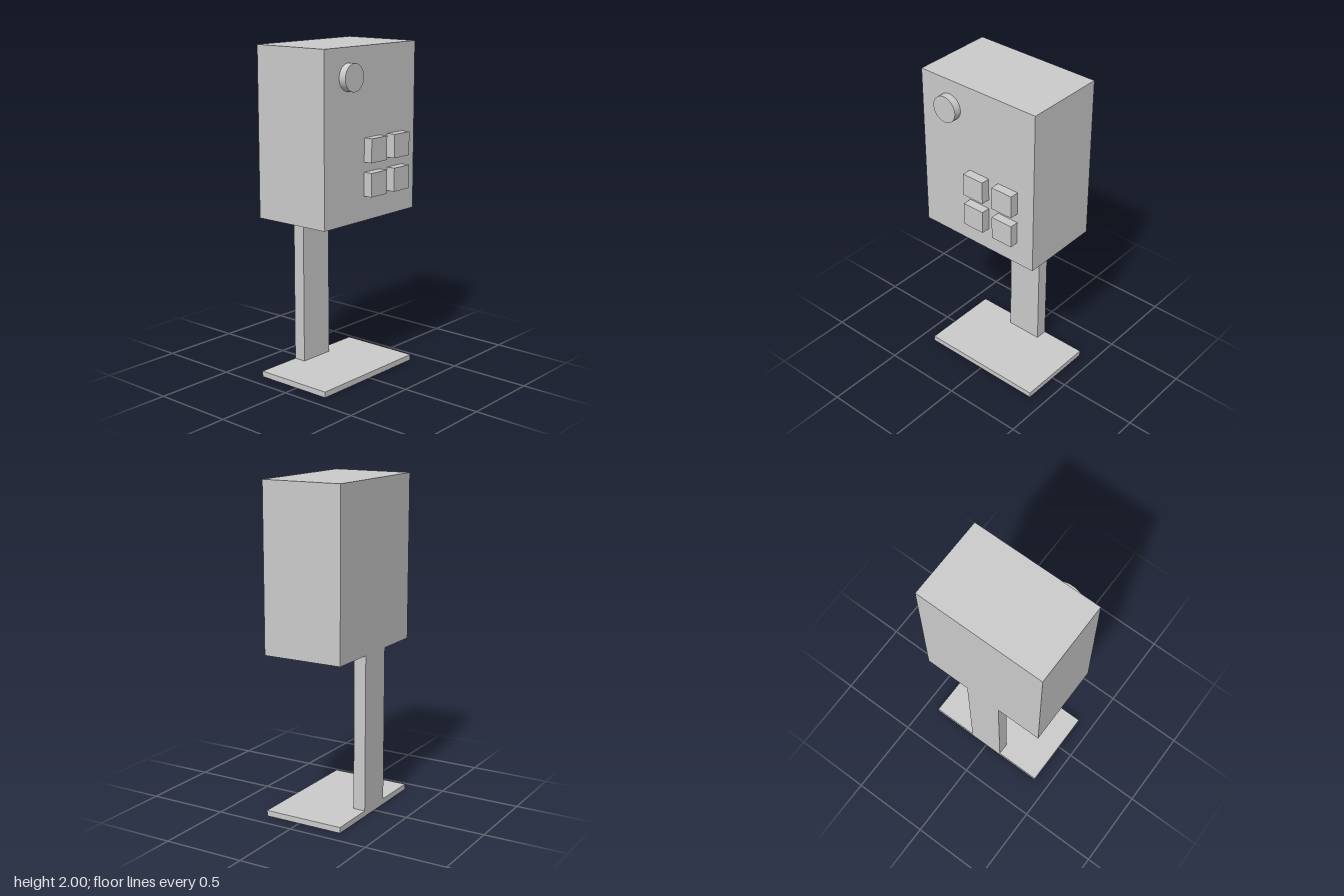
import * as THREE from 'three';

const grey = new THREE.MeshStandardMaterial({ color: 0xcccccc });
const greyDouble = new THREE.MeshStandardMaterial({ color: 0xcccccc, side: THREE.DoubleSide });

// Box given by its minimum and maximum corners; optionally without its underside
function box(name, min, max, openBottom = false) {
  const size = max.map((v, i) => v - min[i]);
  const geometry = new THREE.BoxGeometry(...size);
  if (openBottom) {
    const index = Array.from(geometry.index.array);
    index.splice(18, 6); // the -y face
    geometry.setIndex(index);
    geometry.clearGroups();
  }
  const mesh = new THREE.Mesh(geometry, openBottom ? greyDouble : grey);
  mesh.name = name;
  mesh.position.set(...min.map((v, i) => v + size[i] / 2));
  return mesh;
}

export function createModel() {
  const model = new THREE.Group();
  model.name = 'controlBoxOnStand';

  const halfWidth = 0.405, back = -0.28, front = 0.225;

  // Housing
  model.add(box('housing', [-halfWidth, 0.99, back], [halfWidth, 2, front]));

  // Stand: hollow base plate and a post that reaches just through its top
  model.add(box('basePlate', [-halfWidth, 0, back], [halfWidth, 0.035, front], true));
  model.add(box('post', [-0.115, 0.014, back], [0.115, 0.99, -0.203], true));

  // Two by two square buttons
  const buttons = new THREE.Group();
  buttons.name = 'buttons';
  for (const y of [1.135, 1.335]) {
    for (const x of [-0.06, 0.15]) {
      buttons.add(box('button', [x, y, front], [x + 0.141, y + 0.141, 0.28]));
    }
  }
  model.add(buttons);

  // Round knob
  const depth = 0.045;
  const knob = new THREE.Mesh(new THREE.CylinderGeometry(0.08, 0.08, depth, 48), grey);
  knob.name = 'knob';
  knob.rotation.x = Math.PI / 2;
  knob.position.set(-0.2, 1.833, front + depth / 2);
  model.add(knob);

  return model;
}
